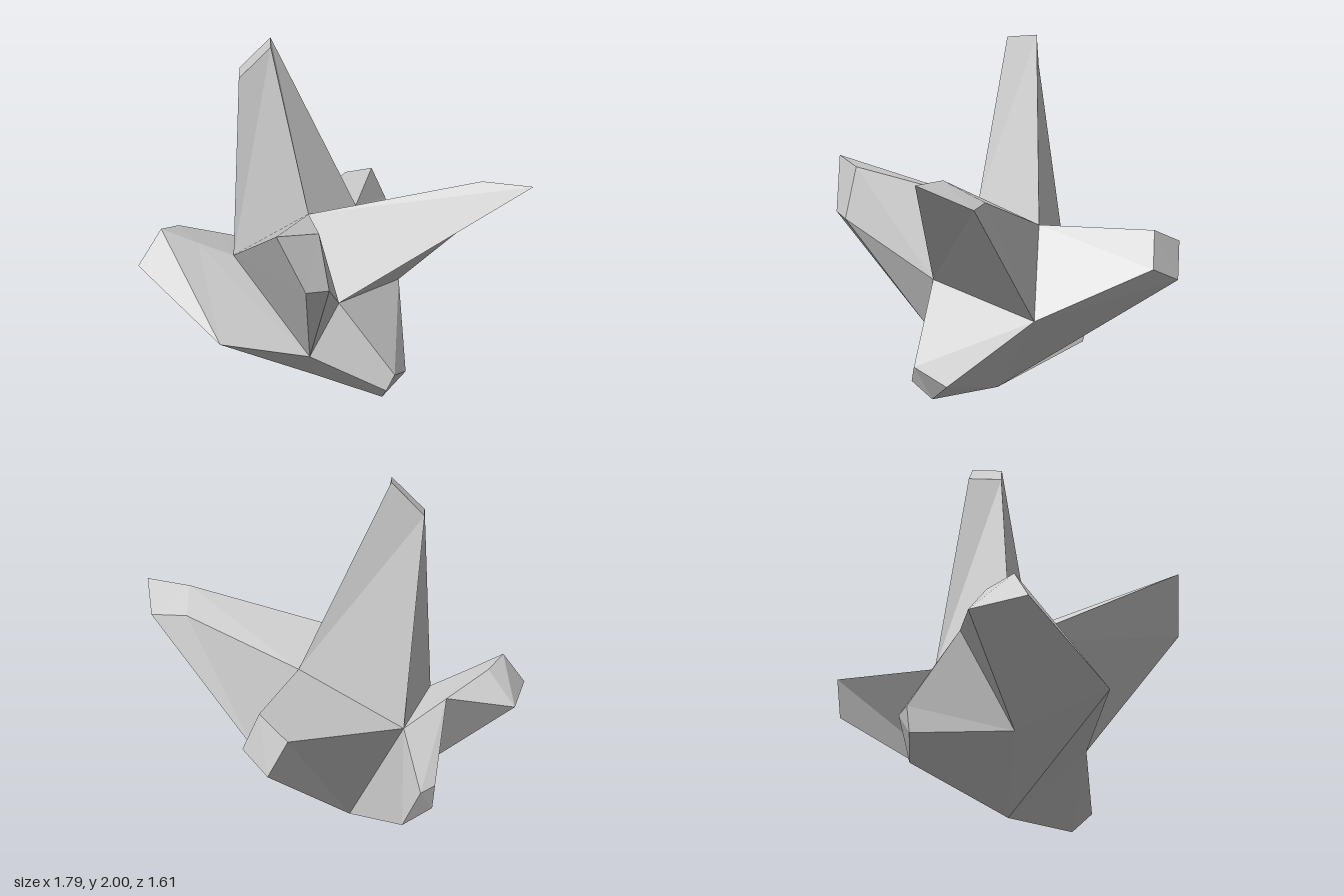
import * as THREE from 'three';

// Corners of the lopsided cube-like core that every spike grows from
const core = {
  A: [-0.09, 1.08, -0.03], B: [-0.09, 0.65, 0.26], C: [0.34, 0.985, -0.165], D: [0.55, 0.51, -0.01],
  E: [-0.26, 0.35, 0.22], F: [-0.4, 0.8, -0.33], G: [-0.06, 0.715, -0.59], H: [-0.01, 0, -0.11],
};
const { A, B, C, D, E, F, G, H } = core;

const material = new THREE.MeshStandardMaterial({ color: 0xcccccc, flatShading: true });

// Tapered spike: each ring is four corners, counter-clockwise from outside;
// the last ring is capped. 'open' lists sides to leave out, as 'ring:side'.
function spike(name, rings, open = []) {
  const points = [];
  const quad = (a, b, c, d) => points.push(a, b, c, a, c, d);
  for (let r = 0; r < rings.length - 1; r++) {
    for (let i = 0; i < 4; i++) {
      if (open.includes(`${r}:${i}`)) continue;
      const j = (i + 1) % 4;
      quad(rings[r][i], rings[r][j], rings[r + 1][j], rings[r + 1][i]);
    }
  }
  quad(...rings[rings.length - 1]);
  const geometry = new THREE.BufferGeometry();
  geometry.setAttribute('position', new THREE.Float32BufferAttribute(points.flat(), 3));
  geometry.computeVertexNormals();
  const mesh = new THREE.Mesh(geometry, material);
  mesh.name = name;
  return mesh;
}

export function createModel() {
  const group = new THREE.Group();
  group.name = 'crystalCluster';

  // Bend in the right rear spike, where the back spike branches off
  const bend = [[-0.575, 0.89, -0.425], [-0.33, 0.83, -0.59], [-0.4, 0.315, -0.305], [-0.73, 0.5, 0.05]];

  group.add(
    spike('topSpike', [
      [A, C, G, F],
      [[-0.17, 1.99, -0.26], [-0.08, 2, -0.4], [-0.22, 1.83, -0.5], [-0.32, 1.82, -0.35]],
    ]),
    spike('leftFrontSpike', [
      [A, B, D, C],
      [[0.64, 1.3, 0.57], [0.8, 1.305, 0.8], [0.89, 1.18, 0.535], [0.74, 1.19, 0.39]],
    ]),
    spike('rightFrontSpike', [
      [A, F, E, B],
      [[-0.44, 1.265, 0.565], [-0.69, 1.31, 0.56], [-0.57, 1, 0.635], [-0.43, 0.975, 0.64]],
    ]),
    spike('lowerFrontSpike', [
      [B, E, H, D],
      [[0.13, 0.23, 0.49], [0.08, 0.14, 0.48], [0.13, 0.035, 0.38], [0.3, 0.145, 0.38]],
    ]),
    spike('leftRearSpike', [
      [C, D, H, G],
      [[0.79, 0.985, -0.6], [0.86, 0.79, -0.545], [0.82, 0.71, -0.74], [0.74, 0.905, -0.805]],
    ]),
    spike('rightRearSpike', [
      [F, G, H, E],
      bend,
      [[-0.75, 0.985, -0.52], [-0.6, 0.945, -0.59], [-0.68, 0.76, -0.735], [-0.9, 0.795, -0.53]],
    ], ['0:1']),
    spike('backSpike', [
      [G, H, bend[2], bend[1]],
      [[-0.05, 0.42, -0.78], [0, 0.2, -0.685], [-0.14, 0.3, -0.76], [-0.14, 0.44, -0.78]],
    ]),
  );
  return group;
}
